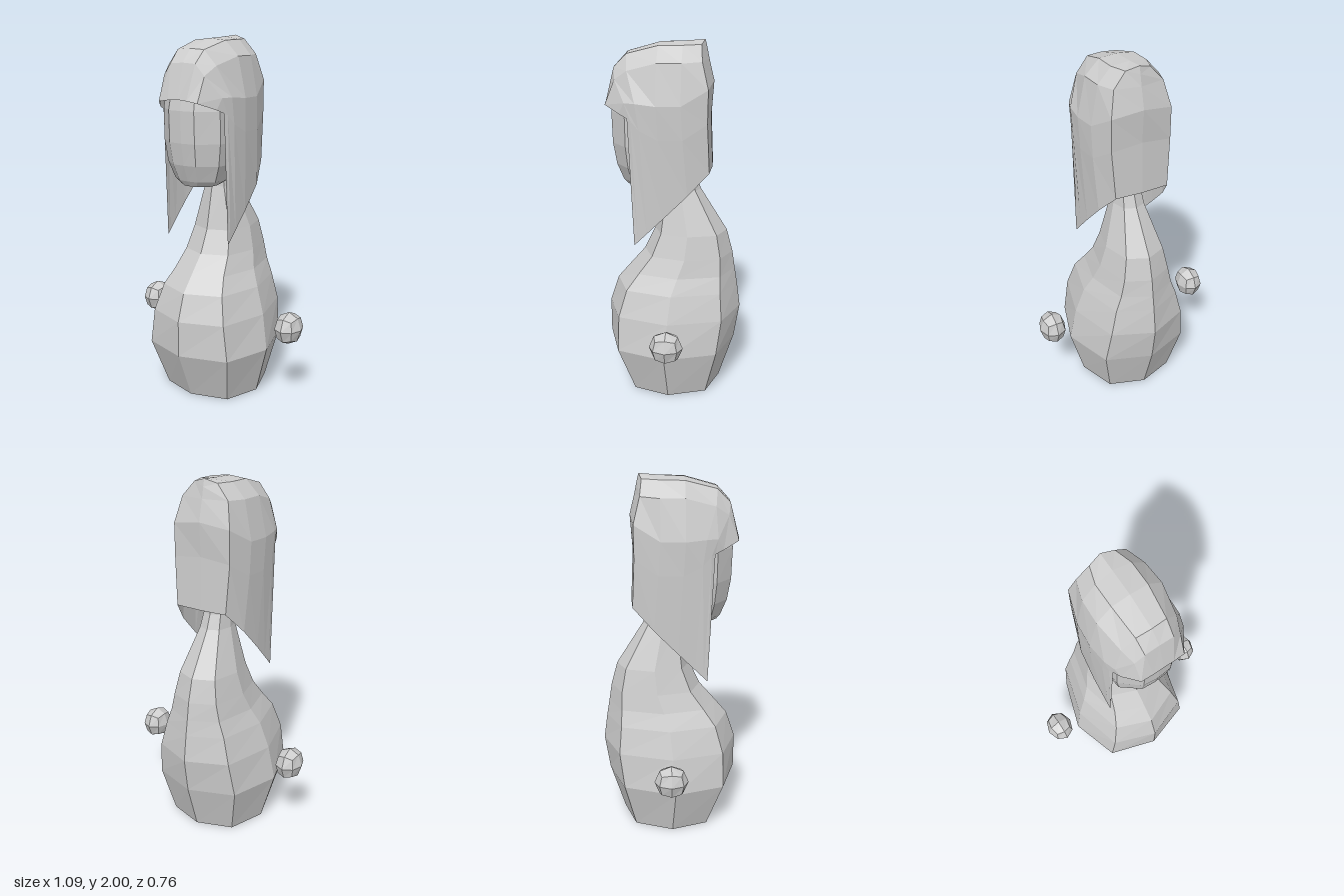
import * as THREE from 'three';

const material = new THREE.MeshStandardMaterial({ color: 0xcccccc, flatShading: true, side: THREE.DoubleSide });

// Joins rows of points into a surface; closed rows form a capped tube
function loft(name, rows, closed) {
  const n = rows[0].length, index = [];
  for (let r = 0; r < rows.length - 1; r++) {
    for (let i = 0; i < (closed ? n : n - 1); i++) {
      const a = r * n + i, b = r * n + (i + 1) % n;
      index.push(a, b, b + n, a, b + n, a + n);
    }
  }
  if (closed) {
    const top = (rows.length - 1) * n;
    for (let i = 1; i < n - 1; i++) {
      index.push(0, i + 1, i);
      index.push(top, top + i, top + i + 1);
    }
  }
  const g = new THREE.BufferGeometry();
  g.setAttribute('position', new THREE.Float32BufferAttribute(rows.flat(2), 3));
  g.setIndex(index);
  const flat = g.toNonIndexed();
  flat.computeVertexNormals();
  const mesh = new THREE.Mesh(flat, material);
  mesh.name = name;
  return mesh;
}

// Ring from [y, half width, front z, back z] and a unit outline
const ring = (outline) => ([y, w, front, back]) =>
  outline.map(([x, z]) => [x * w, y, (front + back) / 2 + z * (front - back) / 2]);

function makeBody() {
  const octagon = [[0, 1], [0.76, 0.77], [1, 0.03], [0.73, -0.75],
    [0, -1], [-0.73, -0.75], [-1, 0.03], [-0.76, 0.77]];
  const levels = [
    [0, 0.275, 0.275, -0.265], [0.27, 0.35, 0.385, -0.35], [0.47, 0.315, 0.385, -0.38],
    [0.62, 0.265, 0.335, -0.36], [0.71, 0.22, 0.26, -0.345], [0.81, 0.19, 0.175, -0.33],
    [0.94, 0.158, 0.115, -0.295], [1.18, 0.085, 0.065, -0.145], [1.26, 0.075, 0.06, -0.115],
    [1.45, 0.075, 0.06, -0.1],
  ];
  return loft('body', levels.map(ring(octagon)), true);
}

function makeHead() {
  const right = [[0.41, 0.97], [0.93, 0.6], [1, 0.1], [0.8, -0.6], [0.35, -1]];
  const outline = [[0, 1], ...right, ...right.map(([x, z]) => [-x, z]).reverse()];
  const levels = [
    [1.21, 0.1, 0.265, 0.03], [1.24, 0.145, 0.285, -0.03], [1.33, 0.182, 0.32, -0.09],
    [1.45, 0.2, 0.34, -0.12], [1.62, 0.2, 0.345, -0.13], [1.72, 0.19, 0.325, -0.12],
    [1.82, 0.14, 0.25, -0.1], [1.9, 0.08, 0.12, -0.05],
  ];
  return loft('head', levels.map(ring(outline)), true);
}

function makeHair() {
  // Half arches from the parting down to the hem, fringe to back seam
  const arches = [
    [[0, 1.68, 0.37], [0.06, 1.675, 0.37], [0.125, 1.665, 0.365], [0.185, 1.63, 0.28], [0.2, 1.61, 0.235], [0.205, 0.9, 0.205]],
    [[0, 1.865, 0.32], [0.08, 1.86, 0.32], [0.13, 1.8, 0.31], [0.2, 1.69, 0.25], [0.21, 1.6, 0.215], [0.206, 0.92, 0.185]],
    [[0, 1.935, 0.255], [0.085, 1.93, 0.25], [0.155, 1.85, 0.24], [0.22, 1.69, 0.19], [0.22, 1.55, 0.17], [0.207, 0.97, 0.135]],
    [[0, 1.985, 0.08], [0.1, 1.975, 0.08], [0.182, 1.895, 0.08], [0.23, 1.68, 0.08], [0.225, 1.5, 0.07], [0.208, 1.06, 0.045]],
    [[0, 1.992, -0.06], [0.1, 1.978, -0.05], [0.175, 1.895, -0.05], [0.217, 1.68, -0.05], [0.215, 1.5, -0.06], [0.2, 1.19, -0.085]],
    [[0, 2, -0.16], [0.07, 1.98, -0.145], [0.14, 1.9, -0.155], [0.172, 1.76, -0.19], [0.172, 1.58, -0.188], [0.155, 1.31, -0.2]],
    [[0, 2, -0.16], [0, 1.96, -0.17], [0, 1.9, -0.182], [0, 1.785, -0.21], [0, 1.6, -0.197], [0, 1.31, -0.208]],
  ];
  const rows = arches.map((half) => [
    ...half.slice(1).map(([x, y, z]) => [-x, y, z]).reverse(), ...half]);
  return loft('hair', rows, false);
}

// Floating hand: a cube divided once and rounded
function makeHand(name, x) {
  const g = new THREE.BoxGeometry(2, 2, 2, 2, 2, 2);
  const p = g.attributes.position, v = new THREE.Vector3();
  for (let i = 0; i < p.count; i++) {
    v.fromBufferAttribute(p, i).normalize();
    p.setXYZ(i, v.x * 0.077, v.y * 0.093, v.z * 0.092);
  }
  g.computeVertexNormals();
  const mesh = new THREE.Mesh(g, material);
  mesh.name = name;
  mesh.position.set(x, 0.422, 0);
  return mesh;
}

export function createModel() {
  const model = new THREE.Group();
  model.name = 'figure';
  for (const part of [makeBody(), makeHead(), makeHair()]) {
    part.position.x = -0.008;
    model.add(part);
  }
  model.add(makeHand('leftHand', 0.467), makeHand('rightHand', -0.469));
  return model;
}
